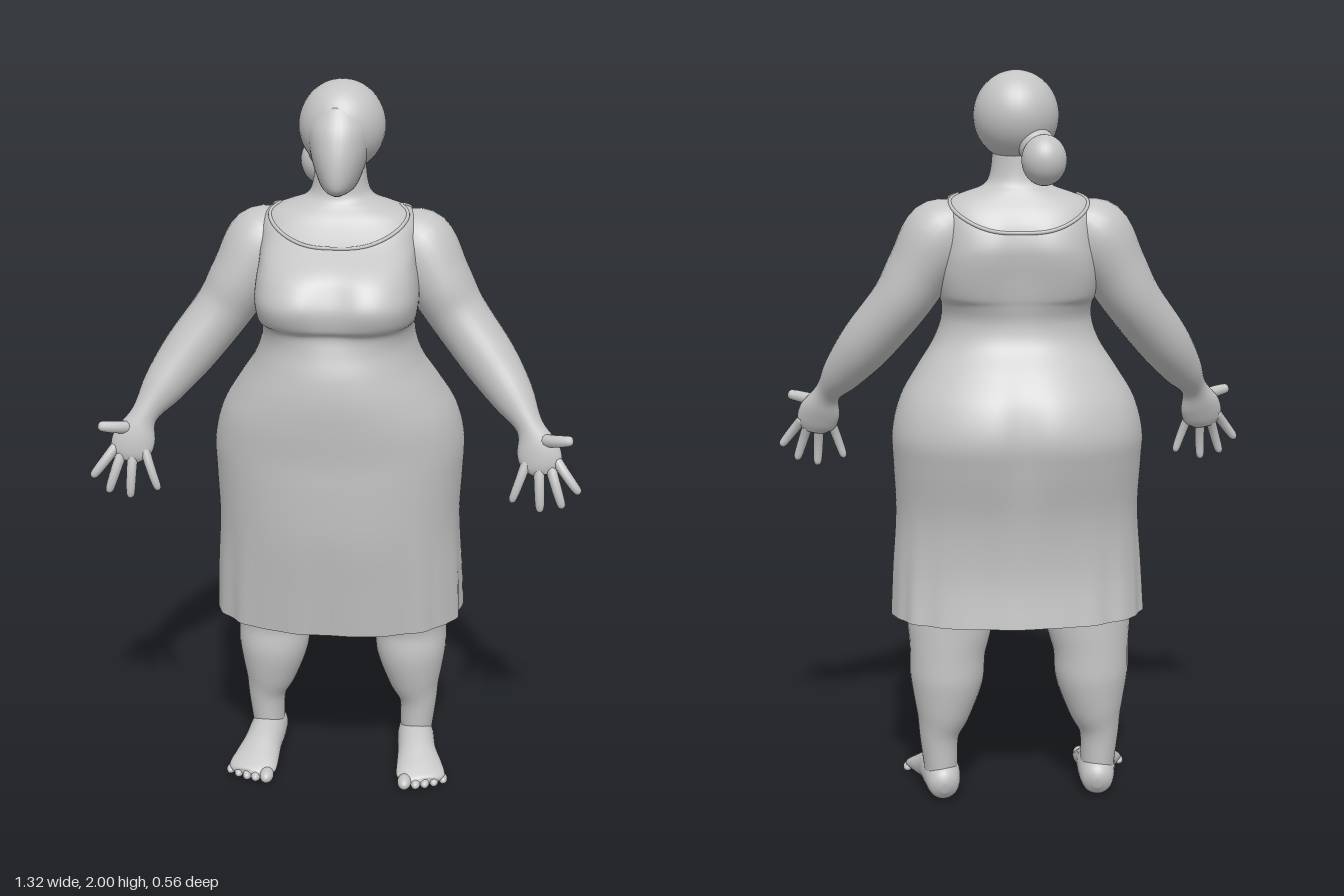
import * as THREE from 'three';

const clay = new THREE.MeshStandardMaterial({ color: 0xc4c4c4, side: THREE.DoubleSide });
clay.name = 'pale grey clay';

// Smooth interpolation through a table of rows; t runs from 0 to rows.length - 1
function sampleRows(rows, t) {
  const last = rows.length - 1;
  const i = Math.min(Math.floor(t), last - 1), f = t - i;
  const r = k => rows[Math.max(0, Math.min(last, k))];
  return rows[0].map((_, c) => {
    const a = r(i - 1)[c], b = r(i)[c], d = r(i + 1)[c], e = r(i + 2)[c];
    const m0 = (d - a) / 2, m1 = (e - b) / 2, f2 = f * f, f3 = f2 * f;
    return (2 * f3 - 3 * f2 + 1) * b + (f3 - 2 * f2 + f) * m0 + (3 * f2 - 2 * f3) * d + (f3 - f2) * m1;
  });
}

// Skin of rings: point(i, angle) gives the surface; ends are optionally closed
function loft(nAlong, nRound, point, capStart, capEnd) {
  const pos = [], idx = [];
  for (let i = 0; i <= nAlong; i++)
    for (let j = 0; j < nRound; j++) pos.push(...point(i, (j / nRound) * Math.PI * 2).toArray());
  for (let i = 0; i < nAlong; i++)
    for (let j = 0; j < nRound; j++) {
      const k = (j + 1) % nRound;
      const a = i * nRound + j, b = i * nRound + k, c = b + nRound, d = a + nRound;
      idx.push(a, b, c, a, c, d);
    }
  const cap = (row, flip) => {
    const centre = new THREE.Vector3(), n = pos.length / 3;
    for (let j = 0; j < nRound; j++) centre.add(point(row, (j / nRound) * Math.PI * 2));
    pos.push(...centre.divideScalar(nRound).toArray());
    for (let j = 0; j < nRound; j++) {
      const a = row * nRound + j, b = row * nRound + (j + 1) % nRound;
      idx.push(...(flip ? [n, b, a] : [n, a, b]));
    }
  };
  if (capStart) cap(0, true);
  if (capEnd) cap(nAlong, false);
  const g = new THREE.BufferGeometry();
  g.setAttribute('position', new THREE.Float32BufferAttribute(pos, 3));
  g.setIndex(idx);
  g.computeVertexNormals();
  return g;
}

// Limb through stations [x, y, z, half width, half depth]
function limb(stations, { ref = [0, 0, 1], round = 20, sub = 5, floor = -1 } = {}) {
  const n = (stations.length - 1) * sub, up = new THREE.Vector3(...ref);
  const at = i => sampleRows(stations, Math.max(0, Math.min(n, i)) / sub);
  return loft(n, round, (i, a) => {
    const s = at(i), p = new THREE.Vector3(s[0], s[1], s[2]);
    const q0 = at(i - 1), q1 = at(i + 1);
    const t = new THREE.Vector3(q1[0] - q0[0], q1[1] - q0[1], q1[2] - q0[2]).normalize();
    const side = new THREE.Vector3().crossVectors(up, t).normalize();
    const depth = new THREE.Vector3().crossVectors(t, side);
    p.addScaledVector(side, Math.cos(a) * s[3]).addScaledVector(depth, Math.sin(a) * s[4]);
    p.y = Math.max(floor, p.y);
    return p;
  }, true, true);
}

// Upright section from [y, half width, front z, back z, squareness]
function section(rows, t, a) {
  const [y, w, zf, zb, e] = sampleRows(rows, t);
  const c = Math.cos(a), s = -Math.sin(a), mid = (zf + zb) / 2 * 0.5 - 0.015;
  const pw = v => Math.sign(v) * Math.pow(Math.abs(v), e);
  return new THREE.Vector3(w * pw(c), y, mid + (s > 0 ? zf - mid : mid - zb) * pw(s));
}

const bodyRows = [
  [0.515, 0.35, 0.22, -0.235, 0.85], [0.65, 0.345, 0.24, -0.222, 0.88], [0.8, 0.337, 0.262, -0.235, 0.9],
  [0.94, 0.343, 0.27, -0.27, 0.9], [1.03, 0.345, 0.272, -0.286, 0.9], [1.12, 0.322, 0.28, -0.262, 0.9],
  [1.2, 0.275, 0.283, -0.21, 0.9], [1.27, 0.23, 0.275, -0.157, 0.9], [1.33, 0.208, 0.258, -0.143, 0.88],
  [1.375, 0.206, 0.252, -0.152, 0.78], [1.4, 0.213, 0.272, -0.16, 0.64], [1.45, 0.218, 0.284, -0.172, 0.6],
  [1.5, 0.215, 0.262, -0.182, 0.62], [1.54, 0.21, 0.226, -0.183, 0.66], [1.59, 0.21, 0.15, -0.168, 0.72],
  [1.63, 0.21, 0.105, -0.145, 0.76], [1.66, 0.19, 0.08, -0.122, 0.82], [1.68, 0.14, 0.062, -0.107, 0.9],
  [1.7, 0.09, 0.05, -0.095, 1], [1.74, 0.072, 0.045, -0.088, 1], [1.82, 0.066, 0.04, -0.085, 1],
];
const bell = (v, w) => Math.exp(-(v * v) / (w * w));

function bodyPoint(t, a) {
  const p = section(bodyRows, t, a), front = -Math.sin(a);
  // cleavage, seat cleft and spine hollow
  if (front > 0) p.z -= 0.02 * bell(p.x, 0.055) * bell(p.y - 1.47, 0.08);
  else p.z += 0.016 * bell(p.x, 0.05) * bell(p.y - 1.03, 0.15) + 0.014 * bell(p.x, 0.05) * bell(p.y - 1.5, 0.12);
  // skirt folds deepen towards the hem
  const fold = Math.max(0, (0.85 - p.y) / 0.33);
  const k = 1 + fold * 0.016 * (Math.sin(a * 13) * 0.6 + Math.sin(a * 21 + 1) * 0.4);
  p.x *= k;
  p.z *= k;
  return p;
}

const faceRows = [
  [1.713, 0.02, 0.09, -0.03, 1], [1.724, 0.04, 0.118, -0.05, 1], [1.745, 0.053, 0.13, -0.06, 0.95],
  [1.79, 0.07, 0.131, -0.08, 0.95], [1.84, 0.081, 0.122, -0.08, 0.95], [1.89, 0.083, 0.104, -0.08, 0.95],
  [1.94, 0.066, 0.07, -0.08, 1],
];
const armRows = [
  [0.13, 1.62, -0.04, 0.04, 0.06], [0.2, 1.57, -0.035, 0.1, 0.1], [0.265, 1.47, -0.02, 0.09, 0.103],
  [0.32, 1.38, -0.01, 0.08, 0.094], [0.41, 1.265, 0.035, 0.074, 0.08], [0.475, 1.18, 0.085, 0.058, 0.06],
  [0.52, 1.115, 0.13, 0.037, 0.036], [0.543, 1.06, 0.152, 0.057, 0.03], [0.556, 1.018, 0.165, 0.054, 0.022],
  [0.561, 0.995, 0.17, 0.03, 0.012],
];
const legRows = [
  [0.17, 1, -0.02, 0.1, 0.12], [0.18, 0.85, -0.02, 0.145, 0.15], [0.185, 0.65, -0.05, 0.13, 0.135],
  [0.193, 0.5, -0.08, 0.118, 0.108], [0.2, 0.42, -0.09, 0.105, 0.098], [0.203, 0.34, -0.088, 0.101, 0.101],
  [0.213, 0.25, -0.09, 0.078, 0.086], [0.225, 0.18, -0.09, 0.056, 0.067], [0.222, 0.1, -0.09, 0.048, 0.061],
  [0.22, 0.05, -0.09, 0.045, 0.058],
];
const footRows = [
  [0.213, 0.042, -0.166, 0.012, 0.015], [0.215, 0.047, -0.145, 0.042, 0.046], [0.22, 0.058, -0.08, 0.053, 0.06],
  [0.228, 0.05, 0, 0.056, 0.05], [0.238, 0.036, 0.06, 0.066, 0.036], [0.246, 0.025, 0.105, 0.07, 0.023],
  [0.25, 0.019, 0.128, 0.05, 0.015], [0.252, 0.018, 0.135, 0.02, 0.006],
];
// Each digit: base, then tip
const digits = {
  thumb: [0.552, 1.085, 0.152, 0.635, 1.1, 0.195, 0.018],
  indexFinger: [0.592, 1.035, 0.163, 0.658, 0.95, 0.192, 0.015],
  middleFinger: [0.577, 1.02, 0.166, 0.614, 0.908, 0.195, 0.015],
  ringFinger: [0.548, 1.02, 0.166, 0.555, 0.893, 0.19, 0.015],
  littleFinger: [0.518, 1.035, 0.162, 0.478, 0.915, 0.182, 0.014],
};

function digit([x, y, z, X, Y, Z, r]) {
  const rows = [[0, 1], [0.35, 0.95], [0.7, 0.88], [0.93, 0.72], [1, 0.2]].map(([t, s]) => [
    x + (X - x) * t, y + (Y - y) * t, z + (Z - z) * t + 0.008 * Math.sin(t * Math.PI), r * s, r * s]);
  return limb(rows, { round: 10, sub: 3 });
}

export function createModel() {
  const model = new THREE.Group();
  const add = (parent, name, geometry) => {
    const m = new THREE.Mesh(geometry, clay);
    m.name = name;
    parent.add(m);
    return m;
  };
  const ball = (parent, name, c, r) => {
    const m = add(parent, name, new THREE.SphereGeometry(1, 32, 24));
    m.position.set(...c);
    m.scale.set(...r);
    return m;
  };

  // Dress, chest and neck
  const sub = 5;
  add(model, 'dressAndTorso', loft((bodyRows.length - 1) * sub, 120, (i, a) => bodyPoint(i / sub, a), false, true));

  // Raised edge of the neckline
  const edge = [];
  for (let i = 0; i < 48; i++) {
    const a = (i / 48) * Math.PI * 2, s = Math.sin(a);
    edge.push(bodyPoint(16.6 - (s < 0 ? 2.6 : 2.9) * Math.pow(Math.abs(s), 1.3), a));
  }
  add(model, 'neckline', new THREE.TubeGeometry(new THREE.CatmullRomCurve3(edge, true), 120, 0.005, 8, true));

  // Head, hair and bun
  add(model, 'face', loft(36, 40, (i, a) => section(faceRows, i / 6, a), true, true));
  ball(model, 'hair', [0.004, 1.88, -0.032], [0.115, 0.12, 0.118]);
  ball(model, 'bun', [-0.06, 1.765, -0.148], [0.06, 0.067, 0.06]);
  ball(model, 'bunBase', [-0.045, 1.8, -0.105], [0.05, 0.05, 0.05]);

  // Limbs, mirrored for the right side
  for (const [side, sx] of [['left', 1], ['right', -1]]) {
    const g = new THREE.Group();
    g.name = side + 'Limbs';
    g.scale.x = sx;
    model.add(g);
    add(g, side + 'Arm', limb(armRows, { round: 28 }));
    for (const [name, d] of Object.entries(digits)) add(g, side + ' ' + name, digit(d));
    add(g, side + 'Leg', limb(legRows, { round: 32 }));
    add(g, side + 'Foot', limb(footRows, { ref: [0, 1, 0], round: 28, floor: 0.002 }));
    for (let i = 0; i < 5; i++) {
      const r = i ? 0.0145 - i * 0.0005 : 0.02;
      ball(g, side + 'Toe', [0.2 + i * 0.026 + (i ? 0.006 : 0), r, 0.137 - i * i * 0.0025], [r, r, r * 1.6]);
    }
  }
  return model;
}
